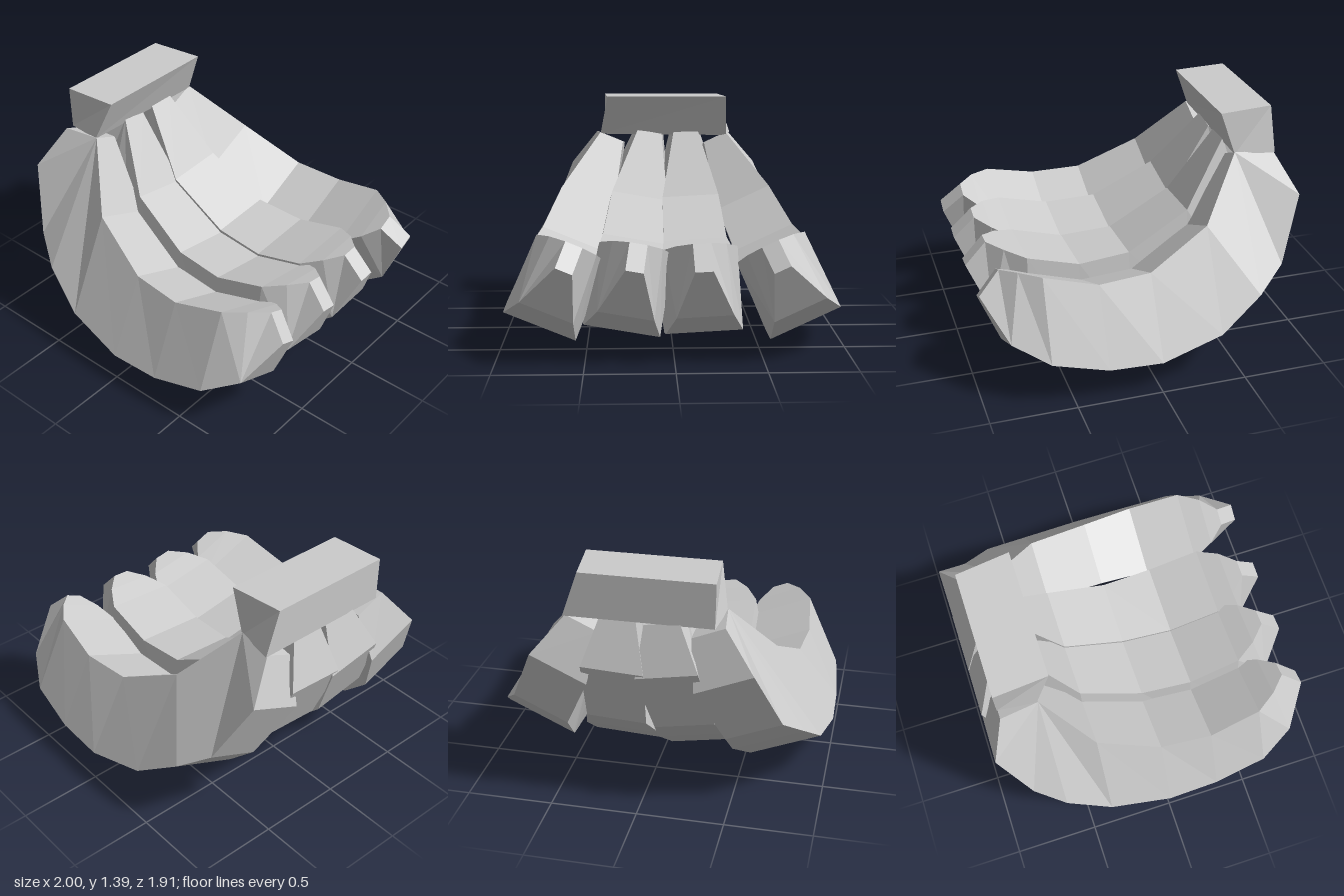
import * as THREE from 'three';

const material = new THREE.MeshStandardMaterial({ color: 0xcccccc, flatShading: true });

// Skin a row of four-cornered rings (counter-clockwise seen from the last ring) and close both ends
function loft(rings) {
  const positions = [];
  const tri = (a, b, c) => {
    const [A, B, C] = [a, b, c].map((p) => new THREE.Vector3(...p));
    const area = B.clone().sub(A).cross(C.clone().sub(A)).length();
    if (area > 1e-7) positions.push(...a, ...b, ...c);
  };
  const quad = (a, b, c, d) => { tri(a, b, c); tri(a, c, d); };
  for (let i = 0; i < rings.length - 1; i++) {
    for (let j = 0; j < 4; j++) {
      const k = (j + 1) % 4;
      quad(rings[i][j], rings[i][k], rings[i + 1][k], rings[i + 1][j]);
    }
  }
  quad(...[...rings[0]].reverse());
  quad(...rings[rings.length - 1]);
  const geometry = new THREE.BufferGeometry();
  geometry.setAttribute('position', new THREE.Float32BufferAttribute(positions, 3));
  geometry.computeVertexNormals();
  return geometry;
}

// Banana sections from stem to tip: inner edge [z, y, half width], outer edge [z, y, half width]
const neck = [-0.63, 1.12, 0.08];
const sections = [
  [neck, [-0.86, 1.10, 0.10]],
  [neck, [-0.96, 0.83, 0.176]],
  [neck, [-0.80, 0.443, 0.172]],
  [neck, [-0.63, 0.288, 0.22]],
  [[-0.37, 0.725, 0.18], [-0.37, 0.10, 0.223]],
  [[0, 0.51, 0.195], [0, 0, 0.228]],
  [[0.31, 0.489, 0.212], [0.31, 0.01, 0.225]],
  [[0.62, 0.574, 0.21], [0.63, 0.09, 0.22]],
  [[0.74, 0.615, 0.14], [0.83, 0.228, 0.16]],
  [[0.83, 0.64, 0.05], [0.83, 0.228, 0.16]],
  [[0.83, 0.64, 0.05], [0.955, 0.507, 0.05]],
];

export function createModel() {
  const group = new THREE.Group();
  group.name = 'bananaBunch';

  // Bananas fanned out below the stem: [x, y, tilt in degrees]
  const bananaGeometry = loft(sections.map(([[tz, ty, tw], [bz, by, bw]]) => [
    [tw, ty, tz], [-tw, ty, tz], [-bw, by, bz], [bw, by, bz],
  ]));
  const placements = [[-0.795, 0.095, -22.5], [-0.31, 0.06, -10], [0.18, 0.05, 3], [0.79, 0.105, 25]];
  placements.forEach(([x, y, tilt], i) => {
    const banana = new THREE.Mesh(bananaGeometry, material);
    banana.name = `banana${i + 1}`;
    banana.position.set(x, y, 0);
    banana.rotation.z = THREE.MathUtils.degToRad(tilt);
    group.add(banana);
  });

  // Stem block joining the bananas, leaning forward and slightly skewed
  const stem = new THREE.Mesh(loft([
    [[0.39, 1.14, -0.63], [0.43, 1.14, -0.865], [-0.41, 1.14, -0.865], [-0.44, 1.15, -0.64]],
    [[0.38, 1.4, -0.54], [0.34, 1.4, -0.865], [-0.415, 1.4, -0.865], [-0.39, 1.4, -0.54]],
  ]), material);
  stem.name = 'stem';
  group.add(stem);

  return group;
}
